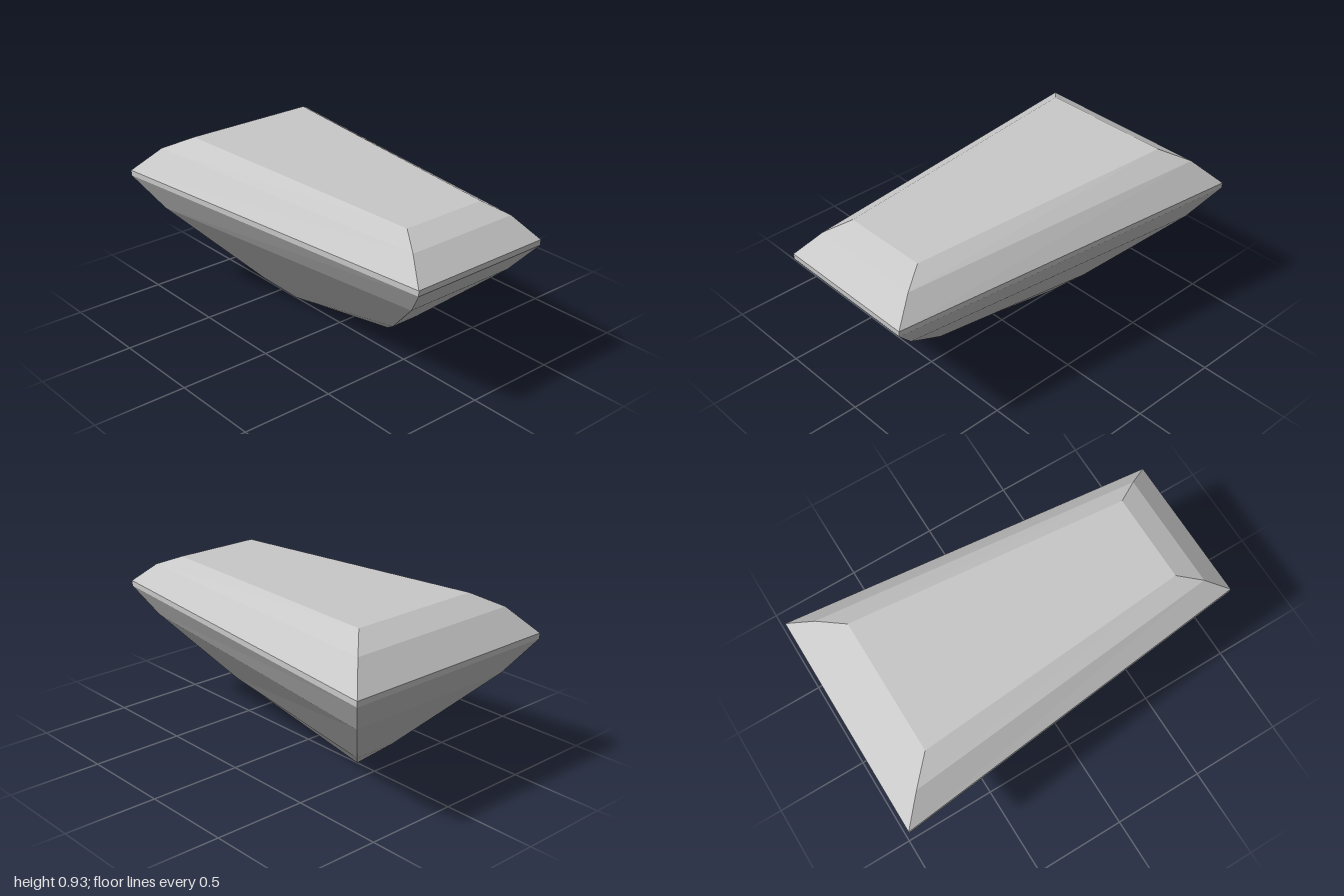
import * as THREE from 'three';

// Rings from table to keel: front half width, y, z, then back half width, y, z
const TABLE = [0.24, 0.895, 0.75, 0.37, 0.933, -0.75];
const CROWN_MID = [0.32, 0.84, 0.875, 0.495, 0.865, -0.875];
const GIRDLE_TOP = [0.4, 0.732, 1, 0.617, 0.732, -1];
const GIRDLE_BOTTOM = [0.4, 0.703, 1, 0.617, 0.703, -1];
const PAVILION_UPPER = [0.32, 0.553, 0.875, 0.495, 0.518, -0.875];
const PAVILION_LOWER = [0.08, 0.22, 0.5, 0.123, 0.113, -0.5];
const KEEL = [0, 0.13, 0.375, 0, 0, -0.375];

// Four corners, counter-clockwise seen from above
function corners([fw, fy, fz, bw, by, bz]) {
  return [[bw, by, bz], [-bw, by, bz], [-fw, fy, fz], [fw, fy, fz]];
}

// Facets joining each ring to the next one below it
function facets(rings) {
  const tris = [];
  for (let r = 0; r < rings.length - 1; r++) {
    const up = corners(rings[r]);
    const low = corners(rings[r + 1]);
    for (let i = 0; i < 4; i++) {
      const j = (i + 1) % 4;
      const pointed = low[i][0] === 0 && low[j][0] === 0 && low[i][2] === low[j][2];
      if (!pointed) tris.push(low[i], low[j], up[j]);
      tris.push(low[i], up[j], up[i]);
    }
  }
  return tris;
}

export function createModel() {
  const gem = new THREE.Group();
  gem.name = 'taperedGem';
  const stone = new THREE.MeshStandardMaterial({ color: 0xc8c8c8, flatShading: true });
  stone.name = 'pale grey stone';

  function addPart(name, tris) {
    const geometry = new THREE.BufferGeometry();
    geometry.setAttribute('position', new THREE.Float32BufferAttribute(tris.flat(), 3));
    geometry.computeVertexNormals();
    const mesh = new THREE.Mesh(geometry, stone);
    mesh.name = name;
    gem.add(mesh);
  }

  // Flat sloping top
  const [a, b, c, d] = corners(TABLE);
  addPart('table', [a, b, c, a, c, d]);

  addPart('crown', facets([TABLE, CROWN_MID, GIRDLE_TOP]));
  addPart('girdle', facets([GIRDLE_TOP, GIRDLE_BOTTOM]));

  // Underside narrowing to a sloping keel
  addPart('pavilion', facets([GIRDLE_BOTTOM, PAVILION_UPPER, PAVILION_LOWER, KEEL]));

  return gem;
}
